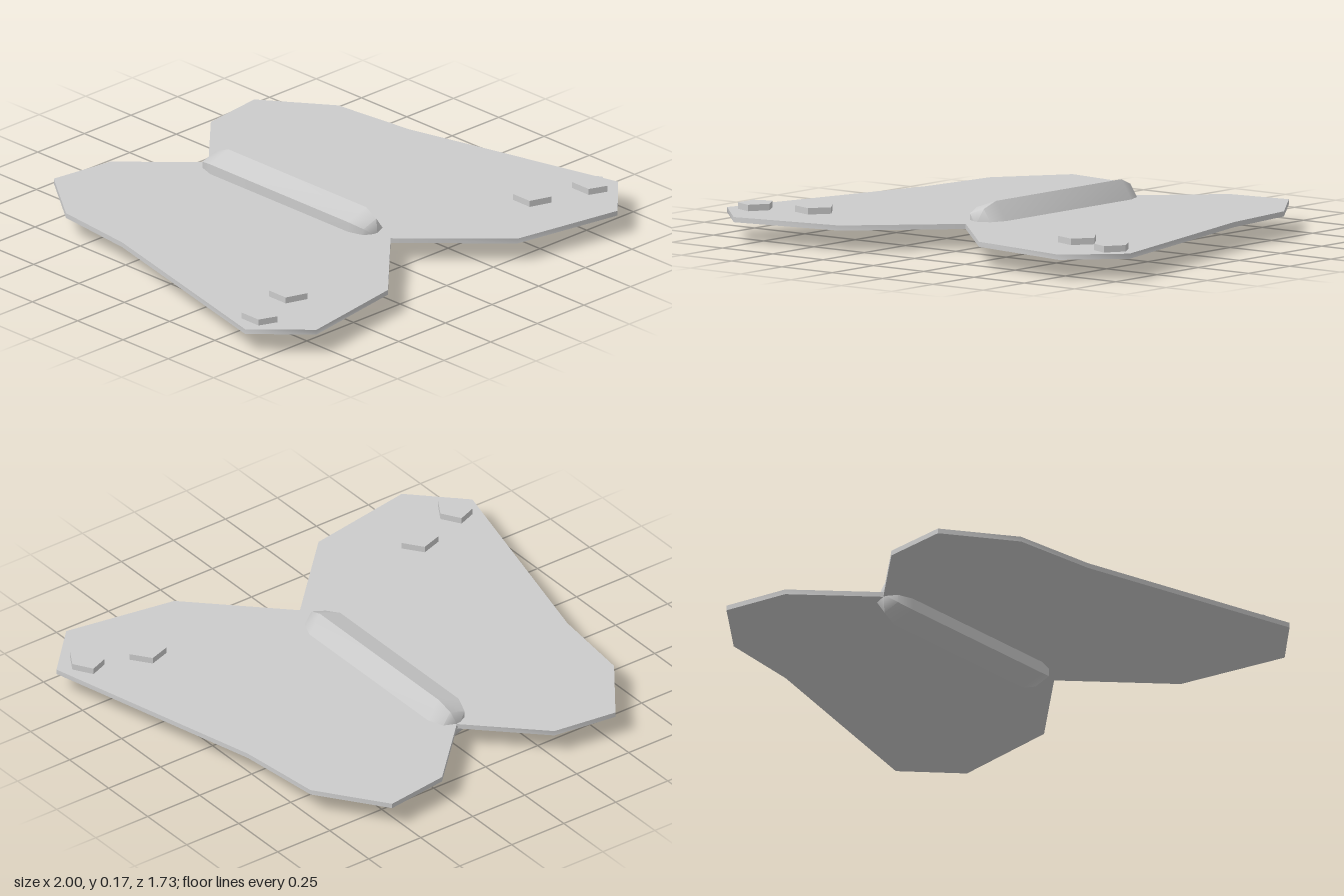
import * as THREE from 'three';
import { toCreasedNormals } from 'three/addons/utils/BufferGeometryUtils.js';

const CREASE = Math.PI / 3;

export function createModel() {
  const model = new THREE.Group();
  model.name = 'butterfly';
  const grey = new THREE.MeshStandardMaterial({ color: 0xcccccc });
  grey.name = 'light grey';

  const add = (name, geometry) => {
    const mesh = new THREE.Mesh(toCreasedNormals(geometry, CREASE), grey);
    mesh.name = name;
    model.add(mesh);
    return mesh;
  };

  // Wings: one half outline as (x, z), front notch to back notch, mirrored
  const half = [
    [0, 0.44], [0.347, 0.783], [0.807, 0.862], [1, 0.667], [0.768, -0.25],
    [0.73, -0.6], [0.537, -0.866], [0.27, -0.83], [0, -0.565],
  ];
  const mirrored = half.slice(1, -1).reverse().map(([x, z]) => [-x, z]);
  const outline = [...half, ...mirrored].map(([x, z]) => new THREE.Vector2(x, -z));
  const wings = new THREE.ExtrudeGeometry(new THREE.Shape(outline), { depth: 0.02, bevelEnabled: false });
  wings.rotateX(-Math.PI / 2).translate(0, 0.08, 0);
  add('wings', wings);

  // Body: five-sided capsule lying along z, one ridge towards +x
  const r = 0.0915;
  const body = new THREE.CapsuleGeometry(r, 0.76, 2, 5);
  body.rotateY(Math.PI).rotateX(Math.PI / 2).scale(0.95, 1, 1).translate(-0.005, 0.087, -0.0975);
  add('body', body);

  // Wing spots: flat pentagons, all pointing towards +x
  for (const side of [1, -1]) {
    const label = side > 0 ? 'left' : 'right';
    for (const [name, x, z, rx] of [['InnerSpot', 0.654, 0.554, 0.079], ['OuterSpot', 0.885, 0.631, 0.066]]) {
      const spot = new THREE.CylinderGeometry(1, 1, 0.025, 5, 1, false, Math.PI / 2);
      spot.scale(rx, 1, 0.079).translate(side * x, 0.1125, z);
      add(label + name, spot);
    }
  }
  return model;
}
